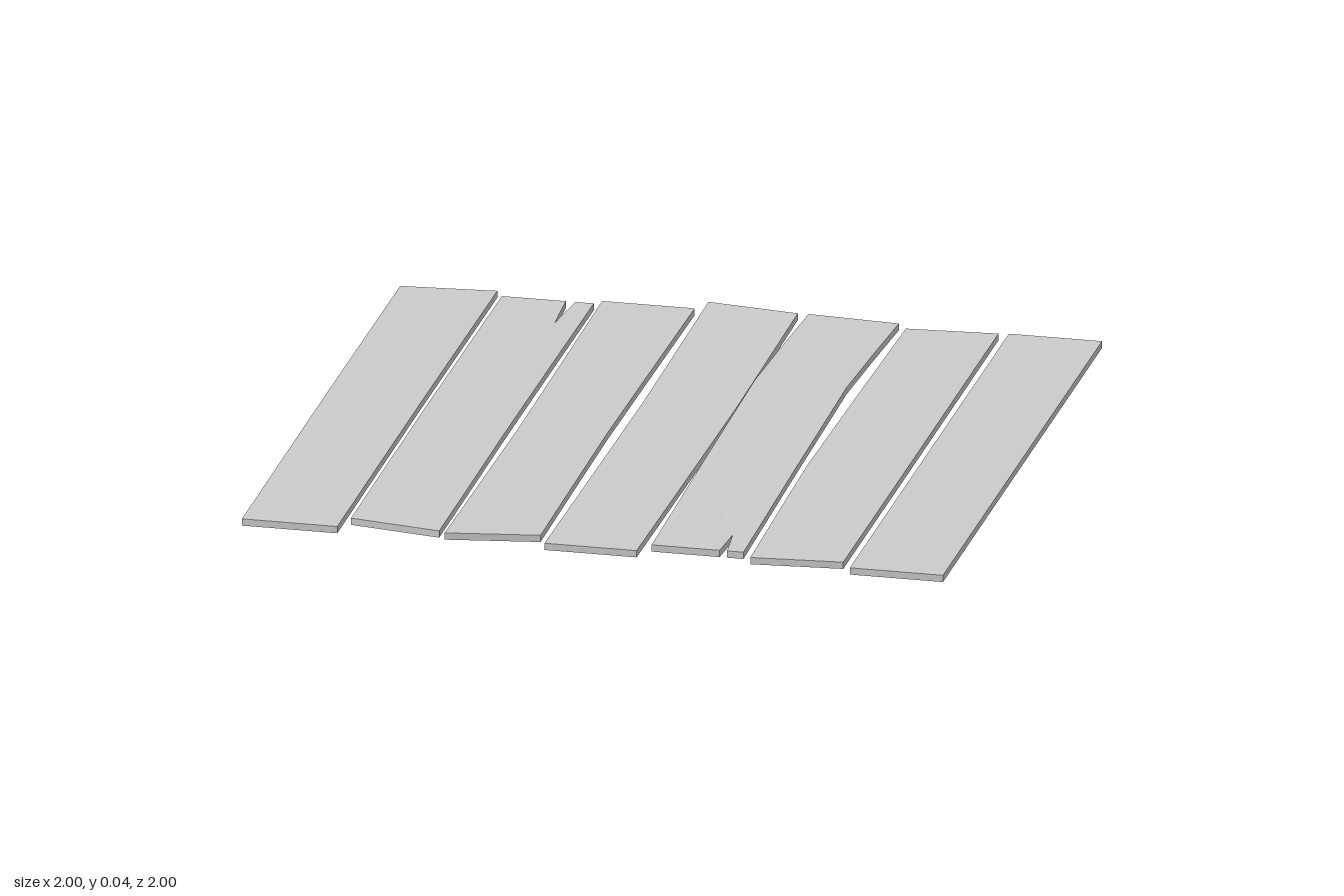
import * as THREE from 'three';

const BASE = 0.012, THICK = 0.02;
// Share of the warp reached at each step from the back end, over the middle, to the front end
const WARP = [0, 0.55, 1, 0.55, 0];

// Slab between x0 and x1. back and front give z at the left and right corner.
// It warps most at z = mid: lift bends it up, sway sideways, pinch narrows it.
// Splits are V-shaped cuts in the end edges.
function plankGeometry({ x0, x1, back, front, mid = 0, lift = 0, sway = 0, pinch = 0,
  backSplit = [], frontSplit = [] }) {
  const edge = (x, side, shift) => WARP.map((w, i) => {
    const end = i < 2 ? back[side] : front[side];
    const z = THREE.MathUtils.lerp(end, mid, [0, 0.5, 1, 0.5, 0][i]);
    return new THREE.Vector3(x + w * shift, BASE + w * lift, z);
  });
  const left = edge(x0, 0, sway + pinch);
  const right = edge(x1, 1, sway - pinch);
  const cut = split => split.map(([x, z]) => new THREE.Vector3(x, BASE, z));
  const backCut = cut(backSplit), frontCut = cut(frontSplit);
  const pos = [];
  const put = (p, dy) => pos.push(p.x, p.y + dy, p.z);

  // Top and bottom faces, one section between each pair of steps
  const last = WARP.length - 2;
  for (let i = 0; i <= last; i++) {
    const section = [left[i], left[i + 1], ...(i === last ? frontCut : []),
      right[i + 1], right[i], ...(i === 0 ? backCut : [])];
    const flat = section.map(p => new THREE.Vector2(p.x, -p.z));
    for (const [a, b, c] of THREE.ShapeUtils.triangulateShape(flat, [])) {
      for (const k of [a, b, c]) put(section[k], THICK);
      for (const k of [c, b, a]) put(section[k], 0);
    }
  }

  // Side walls around the whole outline
  const outline = [...left, ...frontCut, ...right.slice().reverse(), ...backCut];
  outline.forEach((p, i) => {
    const q = outline[(i + 1) % outline.length];
    put(p, 0); put(q, 0); put(q, THICK);
    put(p, 0); put(q, THICK); put(p, THICK);
  });

  const geometry = new THREE.BufferGeometry();
  geometry.setAttribute('position', new THREE.Float32BufferAttribute(pos, 3));
  geometry.computeVertexNormals();
  return geometry;
}

export function createModel() {
  const group = new THREE.Group();
  group.name = 'plankFloor';
  const material = new THREE.MeshStandardMaterial({ color: 0xcccccc, flatShading: true });
  const add = (name, options) => {
    const mesh = new THREE.Mesh(plankGeometry(options), material);
    mesh.name = name;
    group.add(mesh);
  };

  // Planks from the right side of the floor to its left
  add('rightEdgePlank', { x0: -1, x1: -0.728, back: [-0.93, -0.953], front: [1, 1], lift: 0.003 });
  add('backSplitPlank', { x0: -0.706, x1: -0.444, back: [-0.915, -0.915], front: [0.925, 0.97],
    mid: 0.1, lift: 0.005, backSplit: [[-0.497, -0.915], [-0.514, -0.74], [-0.524, -0.915]] });
  add('pinchedPlank', { x0: -0.426, x1: -0.162, back: [-0.94, -0.94], front: [0.982, 0.94],
    mid: 0.1, pinch: 0.007 });
  add('saggingPlank', { x0: -0.137, x1: 0.126, back: [-1, -0.966], front: [1, 1],
    mid: -0.2, lift: -0.012 });
  add('frontSplitPlank', { x0: 0.156, x1: 0.418, back: [-0.968, -0.95], front: [0.945, 0.945],
    mid: -0.4, lift: 0.006, sway: -0.02,
    frontSplit: [[0.35, 0.945], [0.357, 0.815], [0.371, 0.945]] });
  add('bowedPlank', { x0: 0.446, x1: 0.706, back: [-0.915, -0.934], front: [0.982, 0.96],
    mid: 0.25, lift: 0.012, pinch: -0.008 });
  add('leftEdgePlank', { x0: 0.734, x1: 1, back: [-0.94, -0.94], front: [1, 1] });
  return group;
}
